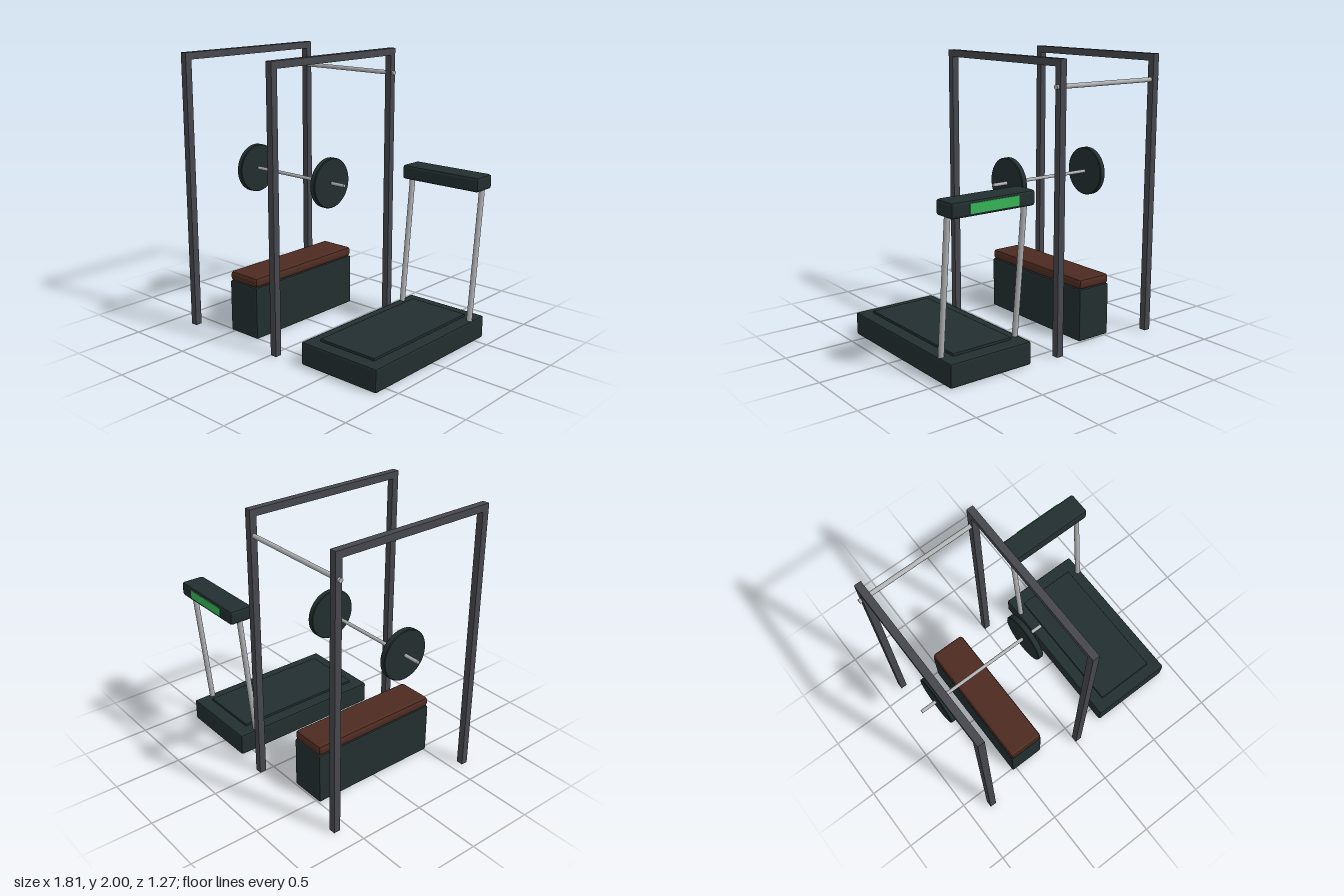
import * as THREE from 'three';
import { RoundedBoxGeometry } from 'three/addons/geometries/RoundedBoxGeometry.js';
import { toCreasedNormals } from 'three/addons/utils/BufferGeometryUtils.js';

const material = (name, color) => {
  const m = new THREE.MeshStandardMaterial({ color });
  m.name = name;
  return m;
};

export function createModel() {
  const frameGrey = material('frameGrey', 0x46474d);
  const rubber = material('darkRubber', 0x222e2f);
  const leather = material('brownLeather', 0x4d2b21);
  const steel = material('steel', 0xb0b2b4);
  const screenGreen = material('screenGreen', 0x35b255);

  const model = new THREE.Group();
  model.name = 'homeGym';
  const group = (name) => {
    const g = new THREE.Group();
    g.name = name;
    model.add(g);
    return g;
  };
  const add = (parent, name, geometry, mat) => {
    const mesh = new THREE.Mesh(geometry, mat);
    mesh.name = name;
    parent.add(mesh);
    return mesh;
  };

  // Box given by its limits, with optional bevelled edges
  const box = (parent, name, mat, [x0, x1], [y0, y1], [z0, z1], bevel = 0) => {
    const size = [x1 - x0, y1 - y0, z1 - z0];
    const geometry = bevel
      ? new RoundedBoxGeometry(...size, 1, bevel)
      : new THREE.BoxGeometry(...size);
    if (bevel) geometry.computeVertexNormals();
    add(parent, name, geometry, mat)
      .position.set((x0 + x1) / 2, (y0 + y1) / 2, (z0 + z1) / 2);
  };

  // Round rod between two points
  const rod = (parent, name, from, to, radius) => {
    const a = new THREE.Vector3(...from);
    const b = new THREE.Vector3(...to);
    const dir = b.clone().sub(a);
    const mesh = add(parent, name, new THREE.CylinderGeometry(radius, radius, dir.length(), 16), steel);
    mesh.position.copy(a).add(b).multiplyScalar(0.5);
    mesh.quaternion.setFromUnitVectors(new THREE.Vector3(0, 1, 0), dir.normalize());
  };

  // Rack: two arches joined by a pull-up bar
  const rack = group('rack');
  for (const [side, x] of [['right', -0.84], ['left', 0]]) {
    const xs = [x, x + 0.05];
    box(rack, side + 'FrontPost', frameGrey, xs, [0, 1.95], [0.585, 0.635]);
    box(rack, side + 'BackPost', frameGrey, xs, [0, 1.95], [-0.617, -0.567]);
    box(rack, side + 'TopRail', frameGrey, xs, [1.95, 2], [-0.617, 0.635]);
  }
  rod(rack, 'pullUpBar', [-0.858, 1.822, -0.59], [0.067, 1.822, -0.59], 0.016);

  // Barbell with one bevelled plate at each end
  const barbell = group('barbell');
  rod(barbell, 'bar', [-0.905, 1.095, 0.01], [0.115, 1.095, 0.01], 0.0125);
  const h = 0.0225, r = 0.18, c = 0.005;
  const profile = [[0, -h], [r - c, -h], [r, -h + c], [r, h - c], [r - c, h], [0, h]]
    .map(([x, y]) => new THREE.Vector2(x, y));
  const plateGeometry = toCreasedNormals(new THREE.LatheGeometry(profile, 40), 0.5);
  for (const [side, x] of [['right', -0.766], ['left', -0.024]]) {
    const plate = add(barbell, side + 'WeightPlate', plateGeometry, rubber);
    plate.rotation.z = Math.PI / 2;
    plate.position.set(x, 1.095, 0.01);
  }

  // Bench
  const bench = group('bench');
  box(bench, 'benchBase', rubber, [-0.533, -0.26], [0, 0.382], [-0.495, 0.515], 0.012);
  box(bench, 'benchPad', leather, [-0.533, -0.26], [0.38, 0.455], [-0.495, 0.515], 0.025);

  // Treadmill
  const treadmill = group('treadmill');
  box(treadmill, 'deck', rubber, [0.26, 0.903], [0, 0.165], [-0.598, 0.606], 0.014);
  box(treadmill, 'belt', rubber, [0.35, 0.813], [0.15, 0.183], [-0.495, 0.515], 0.004);
  for (const [side, x] of [['right', 0.286], ['left', 0.878]]) {
    rod(treadmill, side + 'Upright', [x, 0.15, -0.452], [x, 1.11, -0.549], 0.02);
  }
  box(treadmill, 'console', rubber, [0.26, 0.903], [1.088, 1.193], [-0.633, -0.455], 0.02);
  box(treadmill, 'screen', screenGreen, [0.395, 0.769], [1.108, 1.173], [-0.637, -0.631]);

  return model;
}
